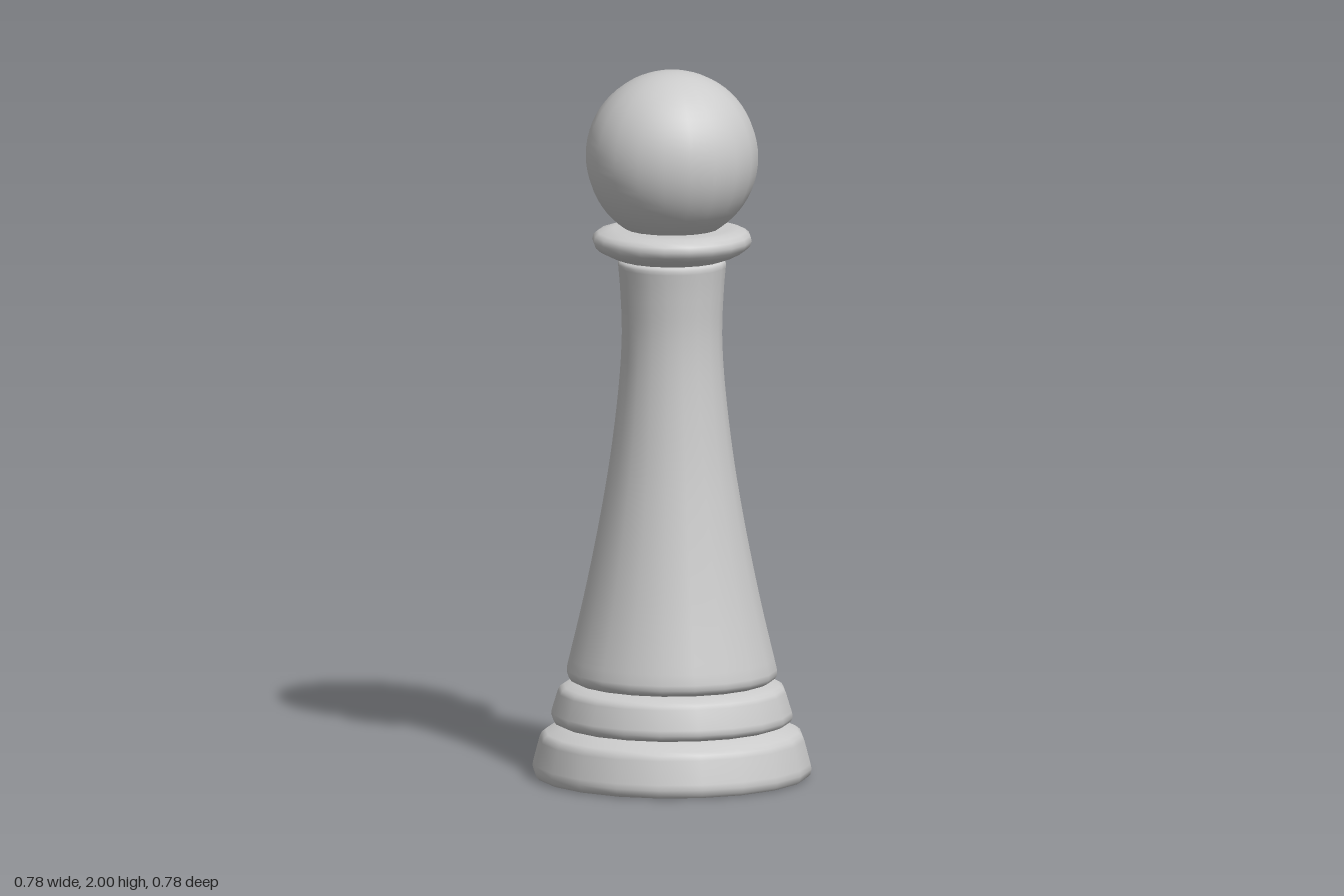
import * as THREE from 'three';

const SIDES = 20;
const material = new THREE.MeshStandardMaterial({ color: 0xcccccc });
const toPoints = (list) => list.map(([r, y]) => new THREE.Vector2(r, y));

// Turns a profile of [radius, height] pairs, listed from bottom to top
function turned(name, points) {
  const mesh = new THREE.Mesh(new THREE.LatheGeometry(points, SIDES), material);
  mesh.name = name;
  return mesh;
}

export function createModel() {
  const group = new THREE.Group();
  group.name = 'pawn';

  // Wide foot with a flat underside and softened rims
  group.add(turned('foot', toPoints([
    [0, 0], [0.37, 0], [0.38, 0.002], [0.388, 0.01], [0.392, 0.025], [0.389, 0.04],
    [0.372, 0.105], [0.366, 0.119], [0.355, 0.128], [0.325, 0.14], [0.305, 0.148], [0.29, 0.15],
  ])));

  // Second step
  group.add(turned('footRing', toPoints([
    [0.29, 0.148], [0.315, 0.151], [0.332, 0.158], [0.339, 0.17], [0.337, 0.185],
    [0.32, 0.24], [0.314, 0.251], [0.303, 0.258], [0.28, 0.267], [0.25, 0.272],
  ])));

  // Tapering body: rounded lower rim, concave sweep, small flare at the neck
  const sweep = new THREE.SplineCurve(toPoints([
    [0.288, 0.335], [0.249, 0.5], [0.208, 0.7], [0.174, 0.9],
    [0.15, 1.1], [0.141, 1.25], [0.145, 1.37], [0.151, 1.445],
  ])).getPoints(28);
  group.add(turned('body', [
    ...toPoints([[0.25, 0.27], [0.275, 0.272], [0.288, 0.279], [0.295, 0.29], [0.295, 0.305]]),
    ...sweep,
    ...toPoints([[0.152, 1.455], [0.148, 1.463], [0.135, 1.468]]),
  ]));

  // Collar disc with a rounded edge
  group.add(turned('collar', toPoints([
    [0.13, 1.465], [0.15, 1.468], [0.175, 1.477], [0.203, 1.491], [0.218, 1.504], [0.224, 1.52],
    [0.22, 1.535], [0.208, 1.545], [0.185, 1.552], [0.165, 1.555], [0.08, 1.555],
  ])));

  // Ball head
  const head = new THREE.Mesh(new THREE.SphereGeometry(0.242, SIDES, 32), material);
  head.name = 'head';
  head.position.y = 1.758;
  group.add(head);

  return group;
}
